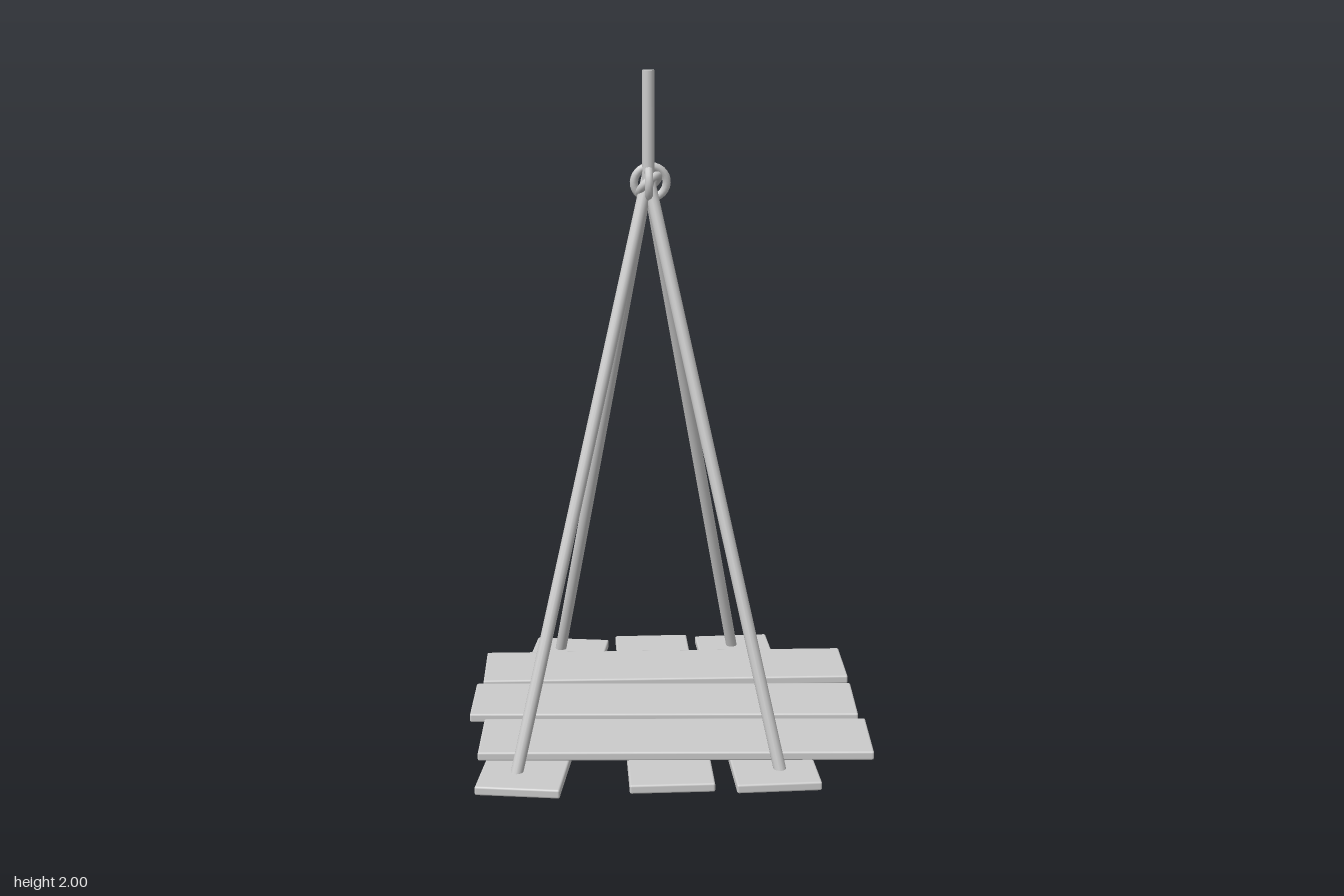
import * as THREE from 'three';
import { RoundedBoxGeometry } from 'three/addons/geometries/RoundedBoxGeometry.js';

const material = new THREE.MeshStandardMaterial({ color: 0xcccccc });
const ROPE_RADIUS = 0.018;

function add(parent, name, geometry) {
  const mesh = new THREE.Mesh(geometry, material);
  mesh.name = name;
  parent.add(mesh);
  return mesh;
}

// Plank lying flat, its long side turned by angle (degrees) from +x towards +z
function plank(parent, name, x, y, z, length, angle) {
  const mesh = add(parent, name, new RoundedBoxGeometry(length, 0.027, 0.242, 2, 0.006));
  mesh.position.set(x, y, z);
  mesh.rotation.y = -THREE.MathUtils.degToRad(angle);
}

// Straight rope between two points
function rope(parent, name, from, to) {
  const axis = to.clone().sub(from);
  const mesh = add(parent, name, new THREE.CylinderGeometry(ROPE_RADIUS, ROPE_RADIUS, axis.length(), 12));
  mesh.position.copy(from).add(to).multiplyScalar(0.5);
  mesh.quaternion.setFromUnitVectors(new THREE.Vector3(0, 1, 0), axis.normalize());
}

export function createModel() {
  const model = new THREE.Group();
  model.name = 'hangingPlatform';

  // Two crossed layers of planks: x, z, length, angle
  const platform = new THREE.Group();
  platform.name = 'platform';
  model.add(platform);
  [
    [-0.328, -0.123, 1.149, 117.9],
    [0.006, -0.015, 1.151, 109.2],
    [0.272, 0.091, 1.149, 107.6],
  ].forEach(([x, z, length, angle], i) => plank(platform, `lowerPlank${i + 1}`, x, 0.038, z, length, angle));
  [
    [0.116, -0.245, 1.16, 20.5],
    [0.006, 0.01, 1.18, 22.3],
    [-0.067, 0.274, 1.149, 22.2],
  ].forEach(([x, z, length, angle], i) => plank(platform, `upperPlank${i + 1}`, x, 0.063, z, length, angle));

  // Four ropes from the knot down through the planks
  const apex = new THREE.Vector3(-0.055, 1.7, 0.035);
  [[-0.13, -0.58], [0.425, -0.385], [-0.575, 0.287], [0.147, 0.562]].forEach(([x, z], i) =>
    rope(model, `cornerRope${i + 1}`, new THREE.Vector3(x, 0.006, z), apex));

  // Hanging rope above the knot
  rope(model, 'hangingRope', new THREE.Vector3(-0.058, 1.66, 0.046), new THREE.Vector3(-0.058, 2, 0.046));

  // Knot made of crossing loops: offset, tilt, loop radius
  const knot = new THREE.Group();
  knot.name = 'knot';
  knot.position.set(-0.05, 1.682, 0.034);
  model.add(knot);
  [
    [0.003, 0, 0, 0.15, -0.3, 0, 0.047],
    [-0.003, 0, -0.002, 0, 1.25, 0.2, 0.046],
    [0, -0.005, 0, 0.9, 0.5, 0, 0.036],
  ].forEach(([x, y, z, rx, ry, rz, radius], i) => {
    const loop = add(knot, `knotLoop${i + 1}`, new THREE.TorusGeometry(radius, 0.012, 10, 28));
    loop.position.set(x, y, z);
    loop.rotation.set(rx, ry, rz);
  });

  return model;
}
